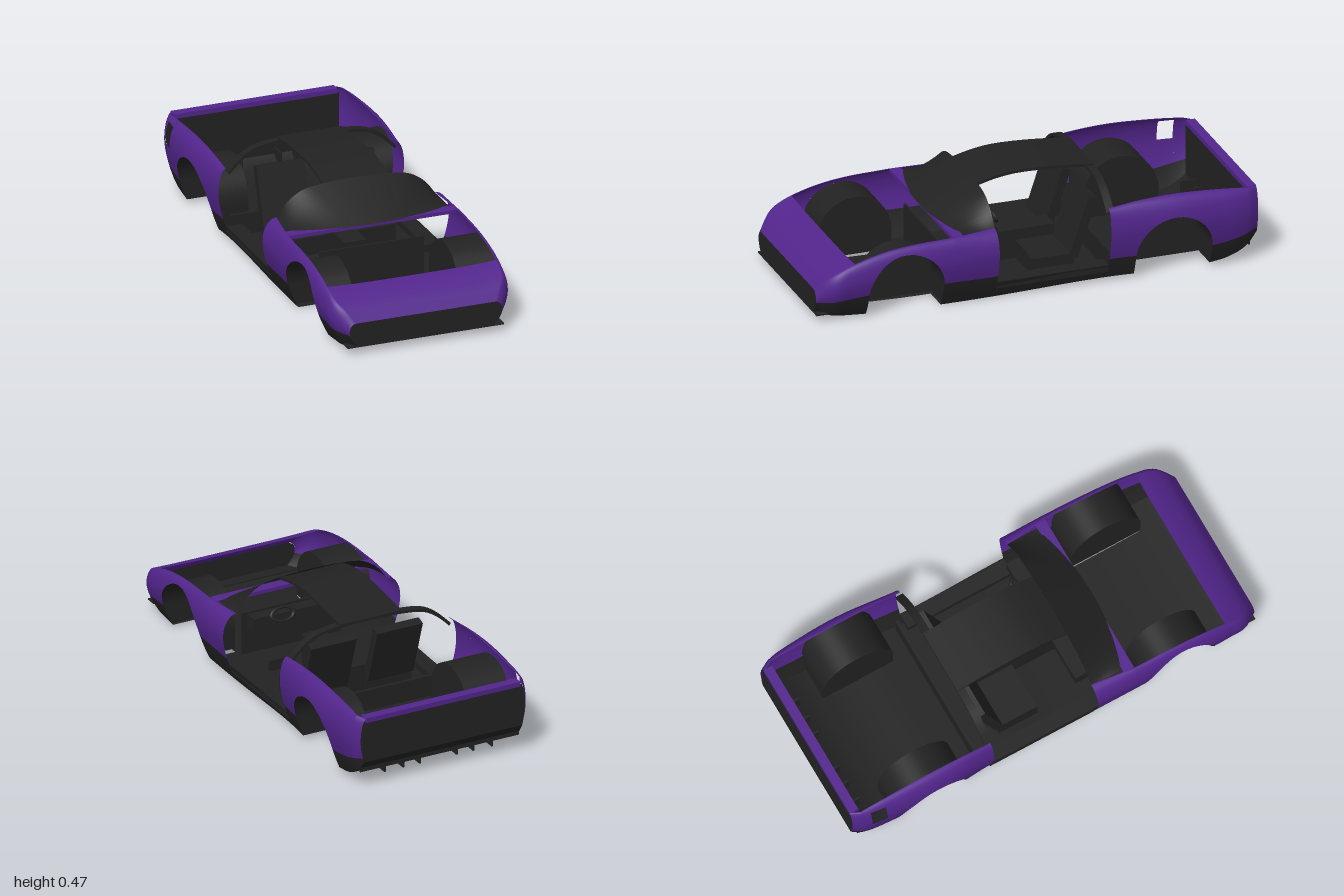
import * as THREE from 'three';
import { ParametricGeometry } from 'three/addons/geometries/ParametricGeometry.js';

// Smooth value along z from [z, value] pairs
function profile(pairs) {
  const c = new THREE.CubicInterpolant(pairs.map(p => p[0]), pairs.map(p => p[1]), 1);
  return z => c.evaluate(z)[0];
}
const lerp = THREE.MathUtils.lerp;

const top = profile([[-1, .325], [-.9, .338], [-.75, .35], [-.6, .355], [-.45, .348], [-.32, .333],
  [.19, .308], [.4, .302], [.6, .295], [.7, .282], [.8, .258], [.9, .22], [.96, .18], [1, .13]]);
const width = profile([[-1, .40], [-.95, .425], [-.8, .444], [-.6, .45], [-.32, .428],
  [.19, .43], [.6, .426], [.85, .417], [.93, .405], [1, .352]]);
const bottom = profile([[-1, .12], [-.96, .07], [-.88, .025], [-.78, .006], [-.5, .004], [.9, .004], [1, .02]]);
const seam = profile([[-1, .14], [-.9, .115], [-.8, .1], [-.4, .1], [.19, .1], [.78, .1], [1, .075]]);
const innerEdge = z => Math.min(z > 0 ? lerp(.365, .388, Math.min(1, (z - .19) / .2)) : .393, width(z) - .03);

// Half width of the body skin at a given height
function skinX(z, y) {
  const t = top(z), mid = t * .67, w = width(z);
  if (y < mid) return w - .06 * Math.pow((mid - y) / mid, 1.6);
  const v = Math.min(1, (y - mid) / (t - mid));
  return w - (w - innerEdge(z)) * (1 - Math.sqrt(1 - v * v));
}

const WHEELS = [{ name: 'front', z: .605, r: .17 }, { name: 'rear', z: -.612, r: .172 }];
const AXLE_Y = .095, WELL_X = .24;

export function createModel() {
  const car = new THREE.Group();
  car.name = 'carBodyShell';
  const purple = new THREE.MeshStandardMaterial({ color: 0x52258c, side: THREE.DoubleSide });
  purple.name = 'purplePaint';
  const black = new THREE.MeshStandardMaterial({ color: 0x222222, side: THREE.DoubleSide });
  black.name = 'blackTrim';

  function add(name, geometry, material, x = 0, y = 0, z = 0) {
    const m = new THREE.Mesh(geometry, material);
    m.name = name;
    m.position.set(x, y, z);
    car.add(m);
    return m;
  }
  const surface = (name, fn, nu, nv, mat) => add(name, new ParametricGeometry(fn, nu, nv), mat);
  const box = (name, x0, x1, y0, y1, z0, z1, mat = black) =>
    add(name, new THREE.BoxGeometry(x1 - x0, y1 - y0, z1 - z0), mat, (x0 + x1) / 2, (y0 + y1) / 2, (z0 + z1) / 2);

  // Piece of body side between two heights
  function sidePanel(name, s, z0, z1, low, high, mat, zAt = u => lerp(z0, z1, u)) {
    surface(name, (u, v, p) => {
      const z = zAt(u), y = lerp(low(z), high(z), Math.sin(v * Math.PI / 2));
      p.set(s * skinX(z, y), y, z);
    }, 18, 12, mat);
  }

  for (const s of [-1, 1]) {
    // Painted fenders and black skirts, left open at the wheels
    const spans = [[.19, .435], [.775, 1], [-.44, -.32], [-.85, -.784], [-.92, -.85], [-1, -.92]];
    for (const [a, b] of spans) {
      sidePanel('skirt', s, a, b, bottom, seam, black);
      if (s < 0 && b === -.85) {
        // Filler opening on the right rear fender
        sidePanel('fenderBelowFiller', s, a, b, seam, () => .225, purple);
        sidePanel('fenderAboveFiller', s, a, b, () => .318, top, purple);
      } else sidePanel('fender', s, a, b, seam, top, purple);
    }
    sidePanel('sillSide', s, -.32, .19, bottom, () => .065, black);
    box('sillTop', s * .355 - .035, s * .355 + .035, .035, .066, -.32, .19);

    for (const w of WHEELS) {
      const arch = z => Math.max(.1, AXLE_Y + Math.sqrt(Math.max(0, w.r * w.r - (z - w.z) ** 2)));
      sidePanel(w.name + 'WheelArchFender', s, 0, 0, arch, top, purple,
        u => w.z - w.r * Math.cos(Math.PI * u));

      // Wheel well: curved liner, straight lower walls and inner wall
      surface(w.name + 'WheelWellLiner', (u, v, p) => {
        const a = Math.PI * u, z = w.z - w.r * Math.cos(a), y = AXLE_Y + w.r * Math.sin(a);
        p.set(s * lerp(WELL_X, skinX(z, y), v), y, z);
      }, 28, 2, black);
      for (const e of [-1, 1]) {
        const z = w.z + e * w.r;
        surface(w.name + 'WheelWellEnd', (u, v, p) => {
          const y = lerp(.004, AXLE_Y, u);
          p.set(s * lerp(WELL_X, skinX(z, y), v), y, z);
        }, 4, 1, black);
      }
      const wall = new THREE.Shape();
      wall.moveTo(-w.r, 0);
      wall.lineTo(w.r, 0);
      wall.lineTo(w.r, AXLE_Y);
      wall.absarc(0, AXLE_Y, w.r, 0, Math.PI, false);
      add(w.name + 'WheelWellInnerWall', new THREE.ShapeGeometry(wall, 24), black, s * WELL_X, 0, w.z)
        .rotation.y = Math.PI / 2;
    }

    // Seats
    const seat = s * .16;
    box('seatCushion', seat - .11, seat + .11, .01, .09, -.21, -.02);
    add('seatBack', new THREE.BoxGeometry(.22, .28, .04), black, seat, .205, -.25).rotation.x = -.32;
  }

  // Flat floor, narrowed between the wheels
  const floors = [[-1, -.784], [-.784, -.44], [-.44, .435], [.435, .775], [.775, 1]];
  floors.forEach(([a, b], i) => surface('floor', (u, v, p) => {
    const z = lerp(a, b, v), y = bottom(z);
    p.set(lerp(-1, 1, u) * (i % 2 ? WELL_X : skinX(z, y)), y, z);
  }, 2, 12, black));

  // Nose
  surface('nosePanel', (u, v, p) => {
    const z = lerp(.835, 1, v), x = lerp(-1, 1, u);
    p.set(x * innerEdge(z), top(z) - .008 * (1 - x ** 4) * (1 - v), z);
  }, 20, 14, purple);
  surface('frontMouth', (u, v, p) => {
    const y = lerp(.02, .13, v);
    p.set(lerp(-1, 1, u) * skinX(1, y), y, 1);
  }, 2, 10, black);
  box('frontSplitter', -.36, .36, .018, .024, .95, 1);

  // Tail
  surface('tailPanel', (u, v, p) => {
    const y = lerp(.12, .315, v);
    p.set(lerp(-1, 1, u) * skinX(-1, y), y, -.997);
  }, 2, 10, black);
  box('tailInnerPanel', -.385, .385, .06, .306, -.968, -.96);
  box('tailLip', -.375, .375, .306, .328, -1, -.958, purple);
  for (const x of [-.26, -.17, -.09, .09, .17, .26])
    box('tailFin', x - .004, x + .004, .03, .1, -.96, -.89);

  // Cowl and windscreen
  box('cowl', -.385, .385, .288, .304, .34, .39, purple);
  const archCurve = pts => new THREE.CatmullRomCurve3(
    [...pts, ...pts.slice(0, -1).reverse().map(([x, y]) => [-x, y])].map(([x, y]) => new THREE.Vector3(x, y, 0)));
  const header = archCurve([[.367, .304], [.325, .36], [.285, .394], [.24, .417], [.15, .431], [0, .437]]);
  const hoop = archCurve([[.388, .32], [.345, .362], [.30, .396], [.25, .418], [.15, .432], [0, .437]]);
  surface('windscreen', (u, v, p) => {
    const k = 1 - 2 * u, h = header.getPoint(u);
    p.set(lerp(.37 * k, h.x, v), lerp(.303, h.y, v), lerp(.40 - .06 * k * k, .19, v));
  }, 32, 8, black);

  // Rear roof hoop: outer and inner skins
  for (const d of [0, .012]) surface('roofHoop', (u, v, p) => {
    const h = hoop.getPoint(u);
    p.set(h.x * (1 - d * 1.5), h.y - d, lerp(-.345, -.31, v));
  }, 32, 1, black);
  for (const z of [-.345, -.31]) surface('roofHoopEdge', (u, v, p) => {
    const h = hoop.getPoint(u), d = .012 * v;
    p.set(h.x * (1 - d * 1.5), h.y - d, z);
  }, 32, 1, black);

  // Central roof bar
  const roofLine = [[-.19, .43], [-.1, .451], [0, .461], [.15, .456], [.345, .437]];
  const bar = new THREE.Shape();
  bar.moveTo(...roofLine[0]);
  bar.splineThru(roofLine.slice(1).map(q => new THREE.Vector2(...q)));
  bar.lineTo(.345, .424);
  bar.splineThru(roofLine.slice(0, -1).reverse().map(([z, y]) => new THREE.Vector2(z, y - .013)));
  const barGeo = new THREE.ExtrudeGeometry(bar, { depth: .3, bevelEnabled: false, curveSegments: 16 });
  barGeo.translate(0, 0, -.15);
  add('roofBar', barGeo, black).rotation.y = Math.PI / 2;

  // Cabin fittings
  box('centreTunnel', -.05, .05, .004, .138, -.2, .19);
  box('dashboard', -.3, .3, .22, .28, .15, .21);
  box('firewall', -.24, .24, .004, .2, .37, .38);
  box('rearBulkhead', -.36, .36, .004, .1, -.36, -.345);
  const wheel = add('steeringWheel', new THREE.TorusGeometry(.03, .006, 8, 24), black, .17, .285, .132);
  wheel.rotation.x = .4;
  wheel.scale.x = 1.8;
  box('pedals', .14, .23, .02, .07, .14, .15);
  return car;
}
